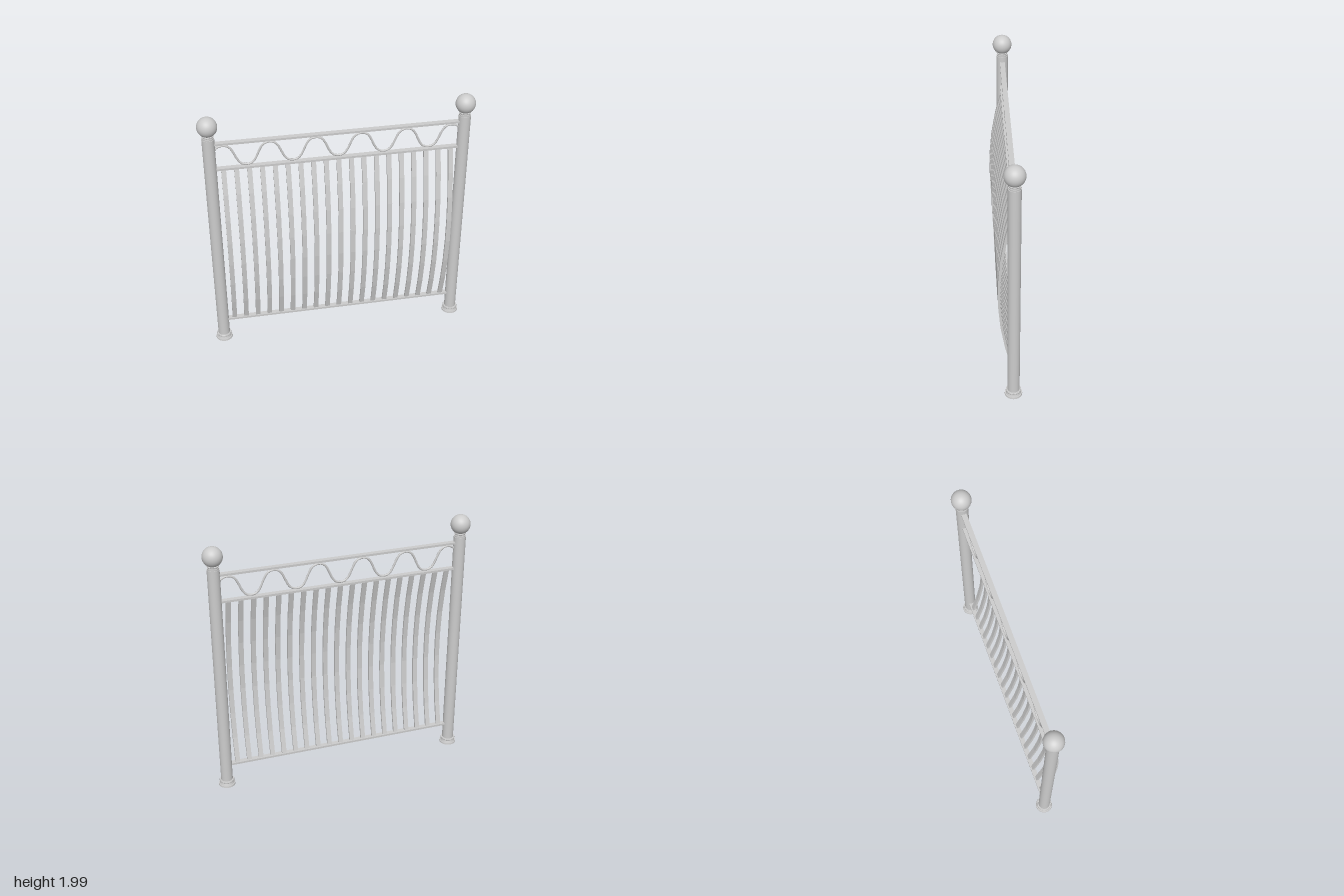
import * as THREE from 'three';

const Z = -0.018; // depth of the post and rail line

export function createModel() {
  const group = new THREE.Group();
  const mat = new THREE.MeshStandardMaterial({ color: 0xcccccc });
  const add = (name, geometry, x = 0, y = 0, z = 0) => {
    const mesh = new THREE.Mesh(geometry, mat);
    mesh.name = name;
    mesh.position.set(x, y, z);
    group.add(mesh);
    return mesh;
  };

  // Frustum rings for the turned posts: [bottom radius, top radius, y0, y1]
  const postRings = [
    ['baseFlange', 0.065, 0.063, 0, 0.013],
    ['baseCove', 0.056, 0.05, 0.013, 0.03],
    ['baseCollar', 0.056, 0.054, 0.03, 0.048],
    ['postShaft', 0.045, 0.045, 0.04, 1.82],
    ['neckRing', 0.041, 0.041, 1.82, 1.832],
    ['neckCollar', 0.036, 0.036, 1.83, 1.86],
  ];
  for (const side of [-1, 1]) {
    const x = side * 0.926;
    for (const [name, r0, r1, y0, y1] of postRings)
      add(name, new THREE.CylinderGeometry(r1, r0, y1 - y0, 32), x, (y0 + y1) / 2, Z);
    // Rounded lips on the neck and foot
    for (const [name, r, tube, y] of [['neckBead', 0.037, 0.006, 1.846], ['footBead', 0.05, 0.007, 0.04]]) {
      const ring = new THREE.TorusGeometry(r, tube, 8, 32).rotateX(Math.PI / 2);
      add(name, ring, x, y, Z);
    }
    add('ballFinial', new THREE.SphereGeometry(0.073, 32, 24), x, 1.914, Z);
  }

  // Horizontal flat rails
  for (const [name, y] of [['topRail', 1.773], ['middleRail', 1.567], ['bottomRail', 0.18]])
    add(name, new THREE.BoxGeometry(1.79, 0.016, 0.038), 0, y, Z);

  // Wavy scroll between the two upper rails
  const wave = [];
  const steps = 160;
  for (let i = 0; i <= steps; i++) {
    const x = -0.89 + (1.78 * i) / steps;
    const s = -Math.cos((x / 0.332) * Math.PI * 2);
    wave.push(new THREE.Vector3(x, 1.669 + 0.083 * Math.tanh(1.3 * s) / Math.tanh(1.3), Z));
  }
  add('waveScroll', new THREE.TubeGeometry(new THREE.CatmullRomCurve3(wave), 320, 0.008, 8));

  // Bowed flat bars, bulging forward in seven straight facets
  const y0 = 0.18, y1 = 1.567, segments = 7, thickness = 0.018, width = 0.035;
  const profile = [];
  for (let i = 0; i <= segments; i++) {
    const t = (2 * i) / segments - 1;
    profile.push([-0.01 + 0.102 * (1 - t * t), y0 + ((y1 - y0) * i) / segments]);
  }
  const outline = [
    ...profile.map(([z, y]) => new THREE.Vector2(z, y)),
    ...profile.slice().reverse().map(([z, y]) => new THREE.Vector2(z - thickness, y)),
  ];
  const barGeometry = new THREE.ExtrudeGeometry(new THREE.Shape(outline), { depth: width, bevelEnabled: false });
  barGeometry.translate(0, 0, -width / 2).rotateY(-Math.PI / 2);
  for (let i = 0; i < 19; i++) add('bowedBar', barGeometry, (i - 9) * 0.0926);

  return group;
}
